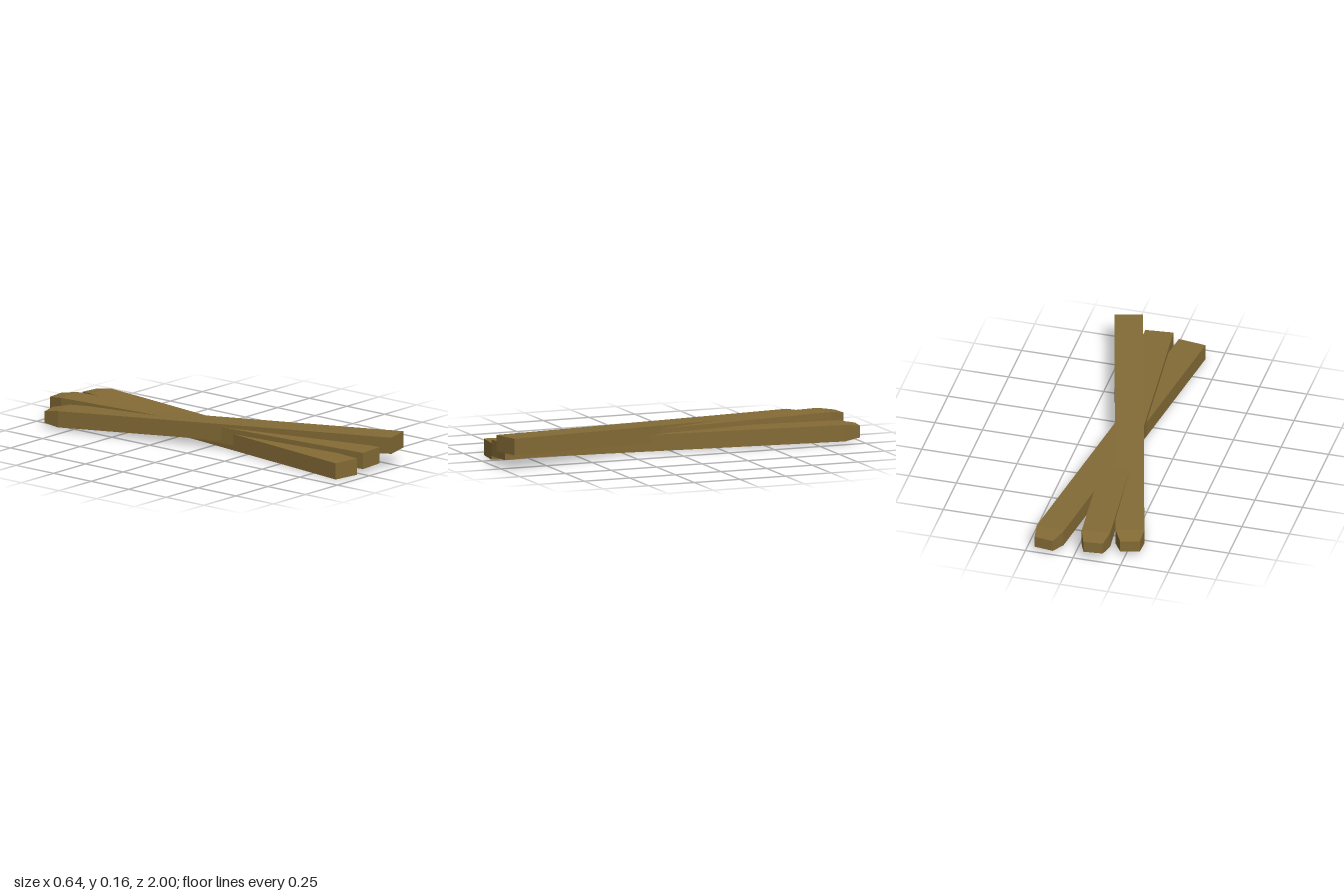
import * as THREE from 'three';

const WIDTH = 0.146, HEIGHT = 0.085, TIP = 0.085;

// Squared beam from a blunt front end to a shoulder, then a short chamfered tip.
// front and shoulder are the centres of those cross-sections.
function beamGeometry(front, shoulder) {
  const dir = shoulder.clone().sub(front).normalize();
  const tip = shoulder.clone().addScaledVector(dir, TIP);
  const across = new THREE.Vector3(-dir.z, 0, dir.x).normalize();
  const sections = [
    { centre: tip, w: WIDTH - 0.046, h: HEIGHT - 0.025 },
    { centre: shoulder, w: WIDTH, h: HEIGHT },
    { centre: front, w: WIDTH, h: HEIGHT },
  ];

  // Move the three rings of a unit box onto the cross-sections
  const box = new THREE.BoxGeometry(1, 1, 2, 1, 1, 2);
  const pos = box.attributes.position;
  const p = new THREE.Vector3();
  for (let i = 0; i < pos.count; i++) {
    const s = sections[Math.round(pos.getZ(i)) + 1];
    p.copy(s.centre).addScaledVector(across, pos.getX(i) * s.w);
    p.y += pos.getY(i) * s.h;
    pos.setXYZ(i, p.x, p.y, p.z);
  }
  const geometry = box.toNonIndexed();
  geometry.computeVertexNormals();
  return geometry;
}

export function createModel() {
  const group = new THREE.Group();
  group.name = 'crossedBeams';

  const wood = new THREE.MeshStandardMaterial({ color: 0x846b36 });
  wood.name = 'wood';

  // Front centre and shoulder centre of each beam, lowest first
  const beams = [
    ['lowerBeam', [-0.097, 0.043, 0.93], [0.145, 0.054, -0.91]],
    ['middleBeam', [0.08, 0.068, 0.945], [-0.097, 0.08, -0.915]],
    ['upperBeam', [0.249, 0.121, 0.975], [-0.25, 0.058, -0.82]],
  ];
  for (const [name, front, shoulder] of beams) {
    const geometry = beamGeometry(new THREE.Vector3(...front), new THREE.Vector3(...shoulder));
    const mesh = new THREE.Mesh(geometry, wood);
    mesh.name = name;
    group.add(mesh);
  }
  return group;
}
